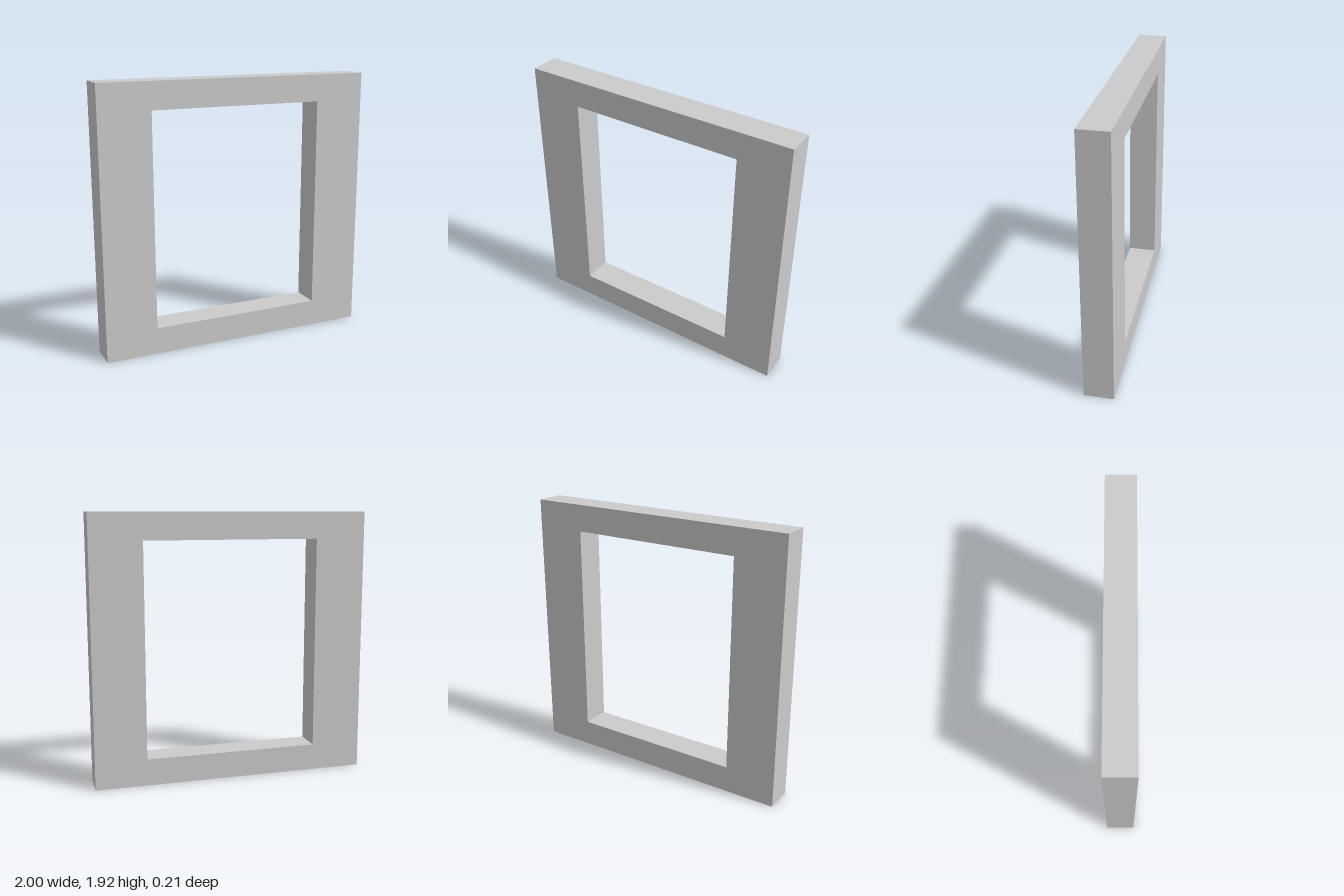
import * as THREE from 'three';

const WIDTH = 2, HEIGHT = 1.925, DEPTH = 0.21;
const OPENING_HALF = 0.63, RAIL = 0.193;

// Closed rectangle outline, added to a Shape or Path
function rectangle(path, x0, y0, x1, y1) {
  path.moveTo(x0, y0);
  path.lineTo(x1, y0);
  path.lineTo(x1, y1);
  path.lineTo(x0, y1);
  path.closePath();
  return path;
}

export function createModel() {
  const group = new THREE.Group();
  group.name = 'rectangularFrame';

  // Outer slab with wide side posts, narrow rails and a through opening
  const outline = rectangle(new THREE.Shape(), -WIDTH / 2, 0, WIDTH / 2, HEIGHT);
  outline.holes.push(rectangle(new THREE.Path(), -OPENING_HALF, RAIL, OPENING_HALF, HEIGHT - RAIL));

  const geometry = new THREE.ExtrudeGeometry(outline, { depth: DEPTH, bevelEnabled: false });
  geometry.translate(0, 0, -DEPTH / 2);

  const frame = new THREE.Mesh(geometry, new THREE.MeshStandardMaterial({ color: 0xcccccc, flatShading: true }));
  frame.name = 'frame';
  group.add(frame);
  return group;
}
